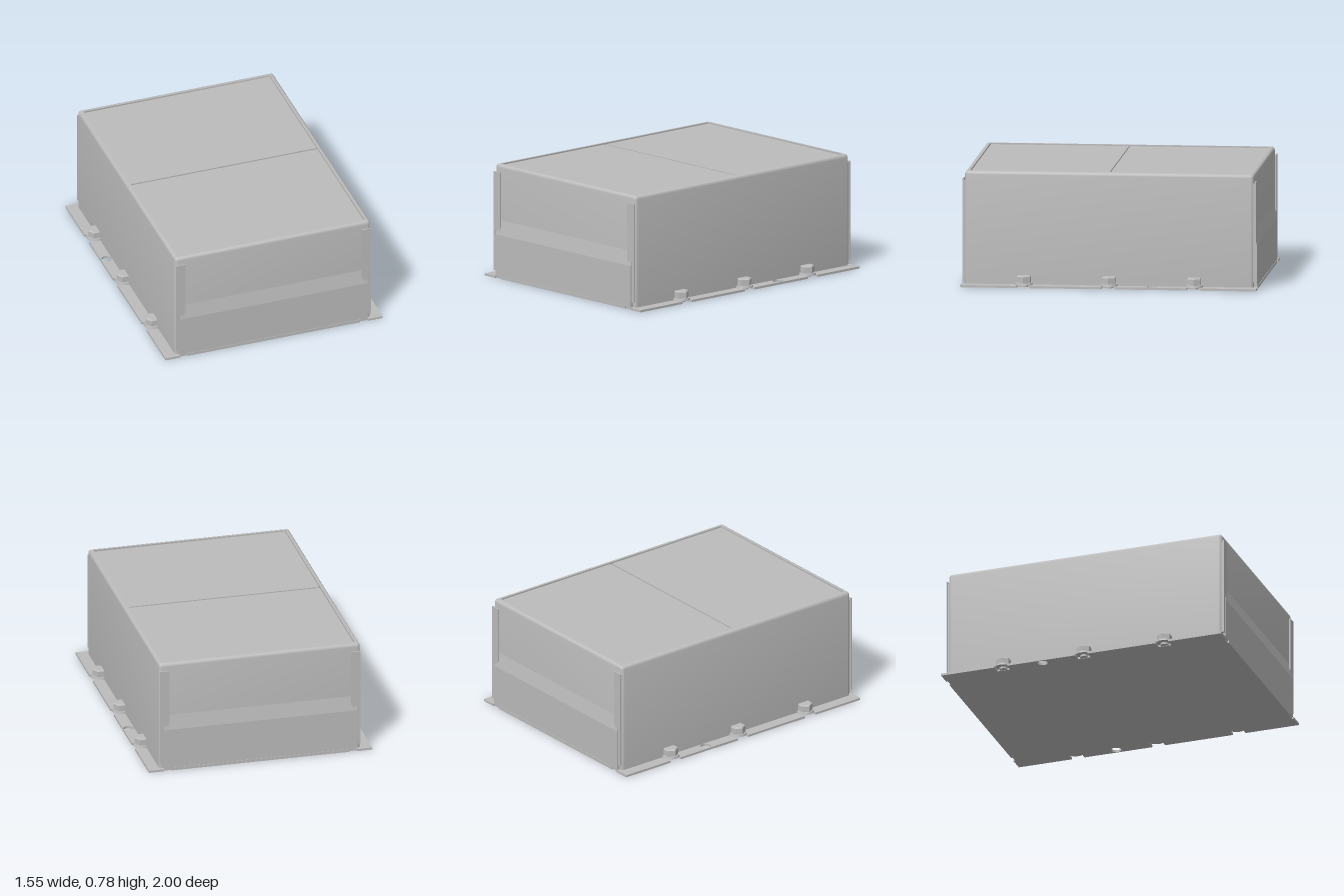
import * as THREE from 'three';
import { toCreasedNormals } from 'three/addons/utils/BufferGeometryUtils.js';

const BOLT_Z = [-0.575, 0, 0.575];

export function createModel() {
  const model = new THREE.Group();
  model.name = 'enclosure';
  const metal = new THREE.MeshStandardMaterial({ color: 0xbcbcbc });
  metal.name = 'grey metal';

  const add = (name, geometry, x = 0, y = 0, z = 0, parent = model) => {
    const mesh = new THREE.Mesh(geometry, metal);
    mesh.name = name;
    mesh.position.set(x, y, z);
    parent.add(mesh);
    return mesh;
  };
  // Box given by its lower and upper corners
  const block = (name, a, b, parent = model) => add(
    name, new THREE.BoxGeometry(b[0] - a[0], b[1] - a[1], b[2] - a[2]),
    (a[0] + b[0]) / 2, (a[1] + b[1]) / 2, (a[2] + b[2]) / 2, parent);

  // Base plate: edge notches under the bolts, two mounting holes, recessed end edges
  const right = [[0.615, -0.988], [0.67, -0.988], [0.67, -1], [0.775, -1]];
  for (const z of BOLT_Z) {
    right.push([0.775, z - 0.045], [0.71, z - 0.045], [0.71, z + 0.045], [0.775, z + 0.045]);
  }
  right.push([0.775, 1], [0.67, 1], [0.67, 0.988], [0.615, 0.988]);
  const left = right.map(([x, y]) => [-x, y]).reverse();
  const plate = new THREE.Shape([...right, ...left].map(([x, y]) => new THREE.Vector2(x, y)));
  for (const s of [-1, 1]) {
    plate.holes.push(new THREE.Path().absarc(s * 0.735, 0.29, 0.035, 0, Math.PI * 2, true));
  }
  const plateGeo = new THREE.ExtrudeGeometry(plate, { depth: 0.015, bevelEnabled: false, curveSegments: 16 });
  add('basePlate', plateGeo.rotateX(-Math.PI / 2));

  // Housing: rounded rectangles stacked up the wall, over the rim and into the lid recess
  add('housing', housingGeometry(0.698, 0.976, 0.022, [
    [0, 0.012], [0, 0.758], [0.002, 0.767], [0.007, 0.775], [0.014, 0.779], [0.022, 0.78],
    [0.033, 0.78], [0.033, 0.762],
  ]));

  // Two lid panels with a narrow gap between them
  for (const s of [-1, 1]) {
    const z0 = s * 0.007, z1 = s * 0.941;
    block('lidPanel', [-0.663, 0.755, Math.min(z0, z1)], [0.663, 0.771, Math.max(z0, z1)]);
  }

  // Both ends: bulged lower panel, corner flanges and bottom lip
  for (const turn of [0, Math.PI]) {
    const end = new THREE.Group();
    end.name = turn ? 'backEnd' : 'frontEnd';
    end.rotation.y = turn;
    model.add(end);

    const profile = new THREE.Shape([
      [-0.97, 0.016], [-0.97, 0.402], [-0.976, 0.4], [-0.995, 0.3], [-0.995, 0.016],
    ].map(([x, y]) => new THREE.Vector2(x, y)));
    const bulge = new THREE.ExtrudeGeometry(profile, { depth: 1.34, bevelEnabled: false });
    add('lowerPanel', bulge.rotateY(Math.PI / 2), -0.67, 0, 0, end);

    for (const s of [-1, 1]) {
      // Upper flange with a stepped, slanted foot
      const flange = new THREE.Shape([
        [0.63, 0.345], [0.63, 0.73], [0.696, 0.73], [0.696, 0.05], [0.674, 0.05], [0.674, 0.325], [0.645, 0.325],
      ].map(([x, y]) => new THREE.Vector2(s * x, y)));
      add('cornerFlange', new THREE.ExtrudeGeometry(flange, { depth: 0.008, bevelEnabled: false }), 0, 0, 0.983, end);
      // Web joining the flange to the housing
      block('flangeWeb', [s * 0.684 - 0.004, 0.05, 0.965], [s * 0.684 + 0.004, 0.72, 0.985], end);
    }
    block('bottomLip', [-0.615, 0, 0.98], [0.615, 0.02, 0.998], end);
  }

  // Flanged hex bolts along both sides
  for (const s of [-1, 1]) {
    for (const z of BOLT_Z) {
      const bolt = new THREE.Group();
      bolt.name = 'bolt';
      bolt.position.set(s * 0.715, 0, z);
      model.add(bolt);
      const hex = (r0, r1, h) => toCreasedNormals(
        new THREE.CylinderGeometry(r1, r0, h, 6).rotateY(Math.PI / 2), 0.4);
      add('boltShank', new THREE.CylinderGeometry(0.028, 0.028, 0.014, 20), 0, 0.009, 0, bolt);
      add('boltFlange', new THREE.CylinderGeometry(0.057, 0.06, 0.014, 28), 0, 0.023, 0, bolt);
      add('boltHead', hex(0.052, 0.052, 0.042), 0, 0.051, 0, bolt);
      add('boltCrown', hex(0.052, 0.045, 0.007), 0, 0.0755, 0, bolt);
    }
  }
  return model;
}

// Lofts rounded rectangles listed as [inset, height], closed with a floor at the last one
function housingGeometry(hx, hz, radius, sections) {
  const steps = 5, positions = [], index = [];
  const count = 4 * (steps + 1);
  for (const [inset, y] of sections) {
    const r = Math.max(radius - inset, 0.004);
    for (let c = 0; c < 4; c++) {
      const sx = c === 0 || c === 3 ? 1 : -1, sz = c < 2 ? 1 : -1;
      for (let i = 0; i <= steps; i++) {
        const a = (c + i / steps) * Math.PI / 2;
        positions.push(sx * (hx - inset - r) + r * Math.cos(a), y, sz * (hz - inset - r) + r * Math.sin(a));
      }
    }
  }
  for (let k = 0; k < sections.length - 1; k++) {
    for (let i = 0; i < count; i++) {
      const a = k * count + i, b = k * count + (i + 1) % count;
      index.push(a, a + count, b, b, a + count, b + count);
    }
  }
  const last = (sections.length - 1) * count;
  for (let i = 1; i < count - 1; i++) index.push(last, last + i + 1, last + i);
  const geometry = new THREE.BufferGeometry();
  geometry.setAttribute('position', new THREE.Float32BufferAttribute(positions, 3));
  geometry.setIndex(index);
  return toCreasedNormals(geometry, 0.6);
}
